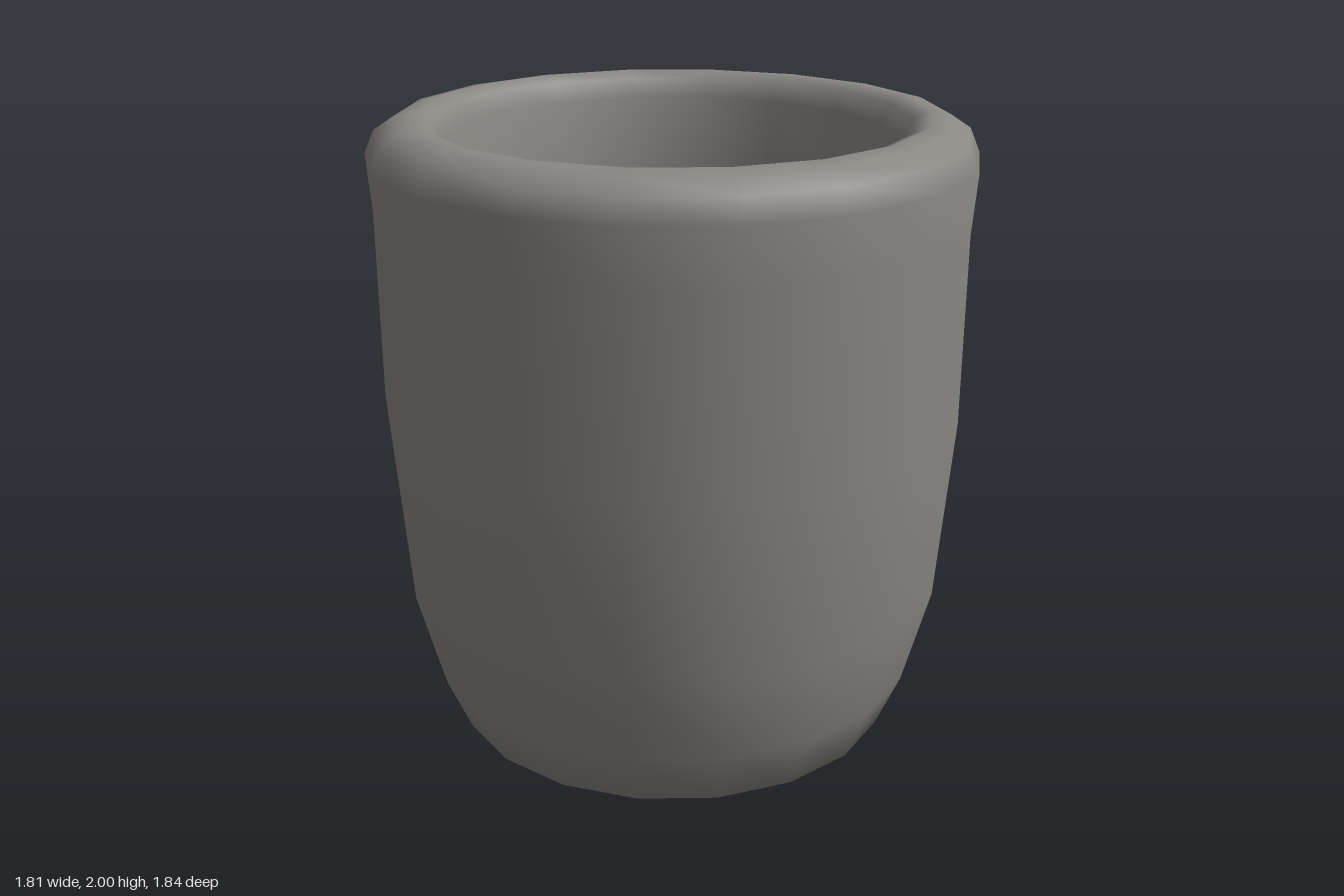
import * as THREE from 'three';

export function createModel() {
  const group = new THREE.Group();
  group.name = 'cup';

  const stoneGrey = new THREE.MeshStandardMaterial({ color: 0x8a8883 });
  stoneGrey.name = 'stoneGrey';

  // Closed profile [radius, height]: base, outer wall, rounded rim, inner wall, bowl floor
  const profile = [
    [0, 0], [0.52, 0],
    [0.69, 0.07], [0.765, 0.24], [0.85, 0.55], [0.9, 1.12], [0.905, 1.7],
    [0.92, 1.88], [0.89, 1.95], [0.83, 1.99], [0.77, 2], [0.72, 1.98], [0.695, 1.92],
    [0.67, 1.7], [0.655, 1.12], [0.63, 0.65], [0.55, 0.38], [0.35, 0.25], [0, 0.22],
  ].map(([r, y]) => new THREE.Vector2(r, y));

  // Eighteen-sided smooth vessel
  const vessel = new THREE.Mesh(new THREE.LatheGeometry(profile, 18), stoneGrey);
  vessel.name = 'vessel';
  group.add(vessel);

  return group;
}
